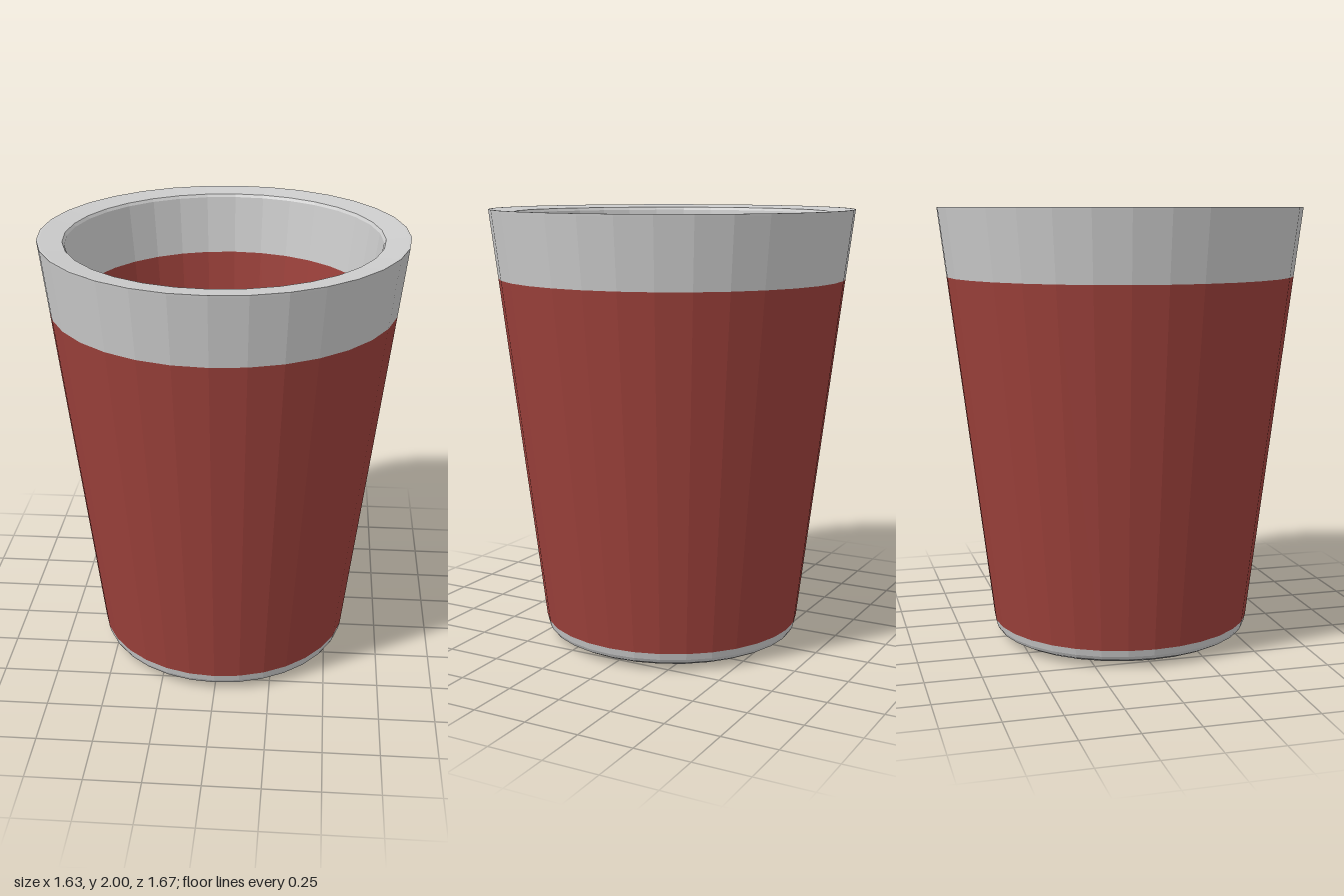
import * as THREE from 'three';

const SIDES = 32;
const X_SCALE = 0.976; // the cup is very slightly narrower across x

const grey = new THREE.MeshStandardMaterial({ color: 0xcccccc, flatShading: true });
const red = new THREE.MeshStandardMaterial({ color: 0x9d413b, flatShading: true });

// Turned band from [radius, height] pairs, running up the outside and down the inside
function band(name, profile, material) {
  const points = profile.map(([r, y]) => new THREE.Vector2(r, y));
  const mesh = new THREE.Mesh(new THREE.LatheGeometry(points, SIDES), material);
  mesh.name = name;
  mesh.scale.x = X_SCALE;
  return mesh;
}

export function createModel() {
  const cup = new THREE.Group();
  cup.name = 'cup';

  // Grey foot: slightly domed underside with a rounded edge
  cup.add(band('foot', [
    [0, 0], [0.4, 0.006], [0.5, 0.012], [0.555, 0.022],
    [0.585, 0.038], [0.595, 0.055], [0.602, 0.085],
  ], grey));

  // Red tapered outer wall
  cup.add(band('outerWall', [[0.602, 0.085], [0.797, 1.69]], red));

  // Grey rim: outer band, lip falling slightly inward, inner band
  cup.add(band('rim', [
    [0.797, 1.69], [0.834, 1.99], [0.835, 2], [0.825, 2],
    [0.722, 1.988], [0.713, 1.975], [0.677, 1.71],
  ], grey));

  // Red inner wall rounding into a bowl-shaped floor
  cup.add(band('innerBowl', [
    [0.677, 1.71], [0.565, 0.75], [0.515, 0.4], [0.46, 0.26],
    [0.36, 0.18], [0.24, 0.14], [0, 0.12],
  ], red));

  return cup;
}
